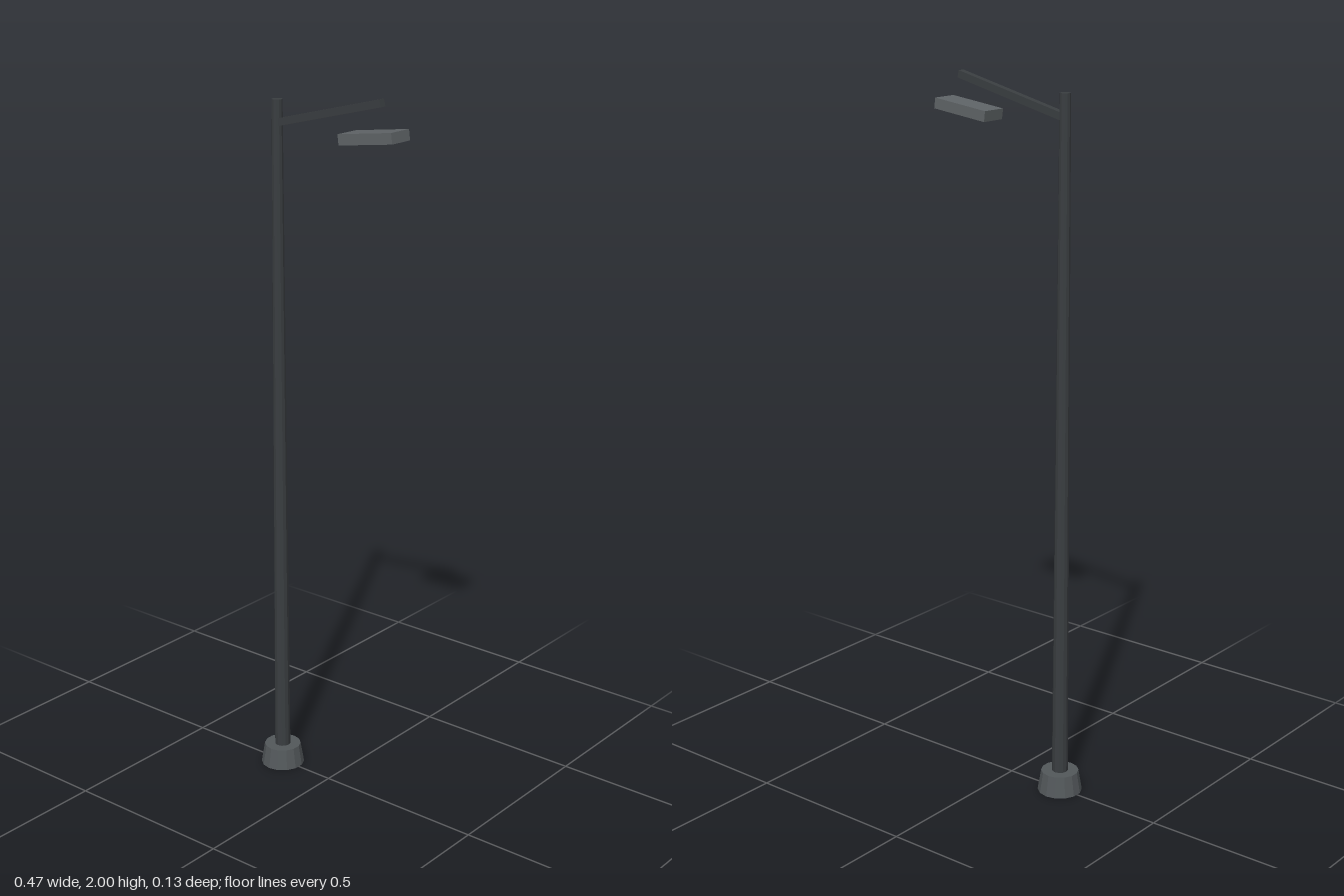
import * as THREE from 'three';

export function createModel() {
  const group = new THREE.Group();
  group.name = 'streetLamp';
  const postX = -0.175;

  const add = (name, geometry, color, x, y, tilt = 0) => {
    const material = new THREE.MeshStandardMaterial({ color, flatShading: true });
    const mesh = new THREE.Mesh(geometry, material);
    mesh.name = name;
    mesh.position.set(x, y, 0);
    mesh.rotation.z = tilt;
    group.add(mesh);
  };

  // Tapered footing
  add('base', new THREE.CylinderGeometry(0.053, 0.063, 0.06, 14), 0x53585b, postX, 0.03);

  // Slim tapering post, standing inside the footing
  add('pole', new THREE.CylinderGeometry(0.015, 0.023, 1.935, 12), 0x3a3e41, postX, 0.9975);

  // Arm rising outward from the top of the post
  const start = new THREE.Vector2(postX, 1.903);
  const end = new THREE.Vector2(0.175, 1.99);
  const run = end.clone().sub(start);
  add('arm', new THREE.BoxGeometry(run.length(), 0.02, 0.02), 0x3a3e41,
    (start.x + end.x) / 2, (start.y + end.y) / 2, run.angle());

  // Flat lamp head hanging below the arm's tip
  add('lampHead', new THREE.BoxGeometry(0.174, 0.029, 0.075), 0x5f6467, 0.148, 1.9, 0.13);

  return group;
}
